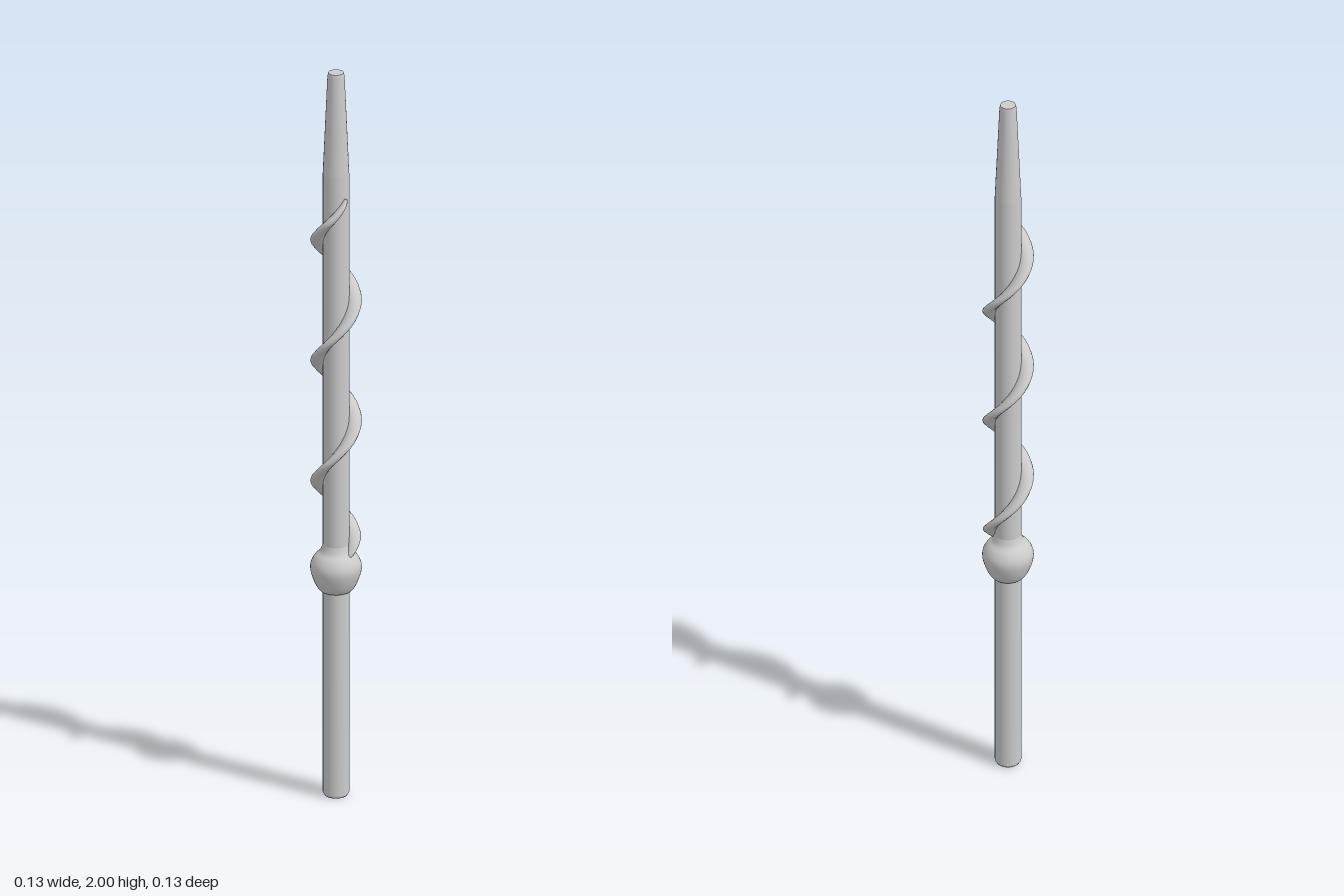
import * as THREE from 'three';

const material = new THREE.MeshStandardMaterial({ color: 0xcccccc, side: THREE.DoubleSide });

function lathe(name, points, segments = 24) {
  const geometry = new THREE.LatheGeometry(points.map(([r, y]) => new THREE.Vector2(r, y)), segments);
  const mesh = new THREE.Mesh(geometry, material);
  mesh.name = name;
  return mesh;
}

// Fin wound around the shaft: an oval section, tilted to the slope, thinning at both ends
function spiralGeometry({ turns, bottom, top, radius, halfWidth, halfThickness }) {
  const steps = turns * 48, sides = 12;
  const rise = (top - bottom) / (turns * Math.PI * 2);
  const slope = Math.atan2(rise, radius);
  const positions = [], indices = [];
  for (let i = 0; i <= steps; i++) {
    const t = i / steps;
    const angle = -t * turns * Math.PI * 2;
    const endTurns = Math.min(t, 1 - t) * turns;
    const taper = Math.sqrt(Math.min(1, 0.06 + endTurns / 0.18));
    const out = new THREE.Vector3(Math.cos(angle), 0, Math.sin(angle));
    // Across the fin, at right angles to the direction of travel
    const across = new THREE.Vector3(
      -Math.sin(angle) * Math.sin(slope), Math.cos(slope), Math.cos(angle) * Math.sin(slope));
    const centre = out.clone().multiplyScalar(radius - halfWidth * (1 - taper) * 0.6);
    centre.y = bottom + (top - bottom) * t;
    for (let j = 0; j < sides; j++) {
      const a = (j / sides) * Math.PI * 2;
      const p = centre.clone()
        .addScaledVector(out, Math.cos(a) * halfWidth * taper)
        .addScaledVector(across, Math.sin(a) * halfThickness * taper);
      positions.push(p.x, p.y, p.z);
      if (i < steps) {
        const k = (j + 1) % sides;
        const p0 = i * sides + j, p1 = i * sides + k;
        indices.push(p0, p1, p0 + sides, p1, p1 + sides, p0 + sides);
      }
    }
  }
  // End caps
  const last = steps * sides;
  for (let j = 1; j < sides - 1; j++) {
    indices.push(0, j + 1, j, last, last + j, last + j + 1);
  }
  const geometry = new THREE.BufferGeometry();
  geometry.setAttribute('position', new THREE.Float32BufferAttribute(positions, 3));
  geometry.setIndex(indices);
  geometry.computeVertexNormals();
  return geometry;
}

export function createModel() {
  const model = new THREE.Group();
  model.name = 'spiralWand';

  // Handle with a softened butt end
  model.add(lathe('handle', [[0, 0], [0.029, 0], [0.034, 0.008], [0.034, 0.6]]));

  // Rounded collar between handle and shaft
  const collar = new THREE.SplineCurve([
    [0.033, 0.566], [0.043, 0.57], [0.055, 0.59], [0.065, 0.62],
    [0.065, 0.642], [0.055, 0.662], [0.041, 0.676], [0.034, 0.695],
  ].map(([r, y]) => new THREE.Vector2(r, y)));
  model.add(lathe('collar', collar.getPoints(24).map((p) => [p.x, p.y]), 32));

  // Straight shaft and tapering tip
  model.add(lathe('shaft', [[0.034, 0.6], [0.034, 1.72]]));
  model.add(lathe('tip', [[0.034, 1.72], [0.022, 1.99], [0.02, 2]]));
  model.add(lathe('tipCap', [[0.02, 2], [0, 2]]));

  // Three turns of spiral
  const spiral = new THREE.Mesh(spiralGeometry({
    turns: 3, bottom: 0.66, top: 1.66, radius: 0.047, halfWidth: 0.019, halfThickness: 0.011,
  }), material);
  spiral.name = 'spiral';
  model.add(spiral);

  return model;
}
